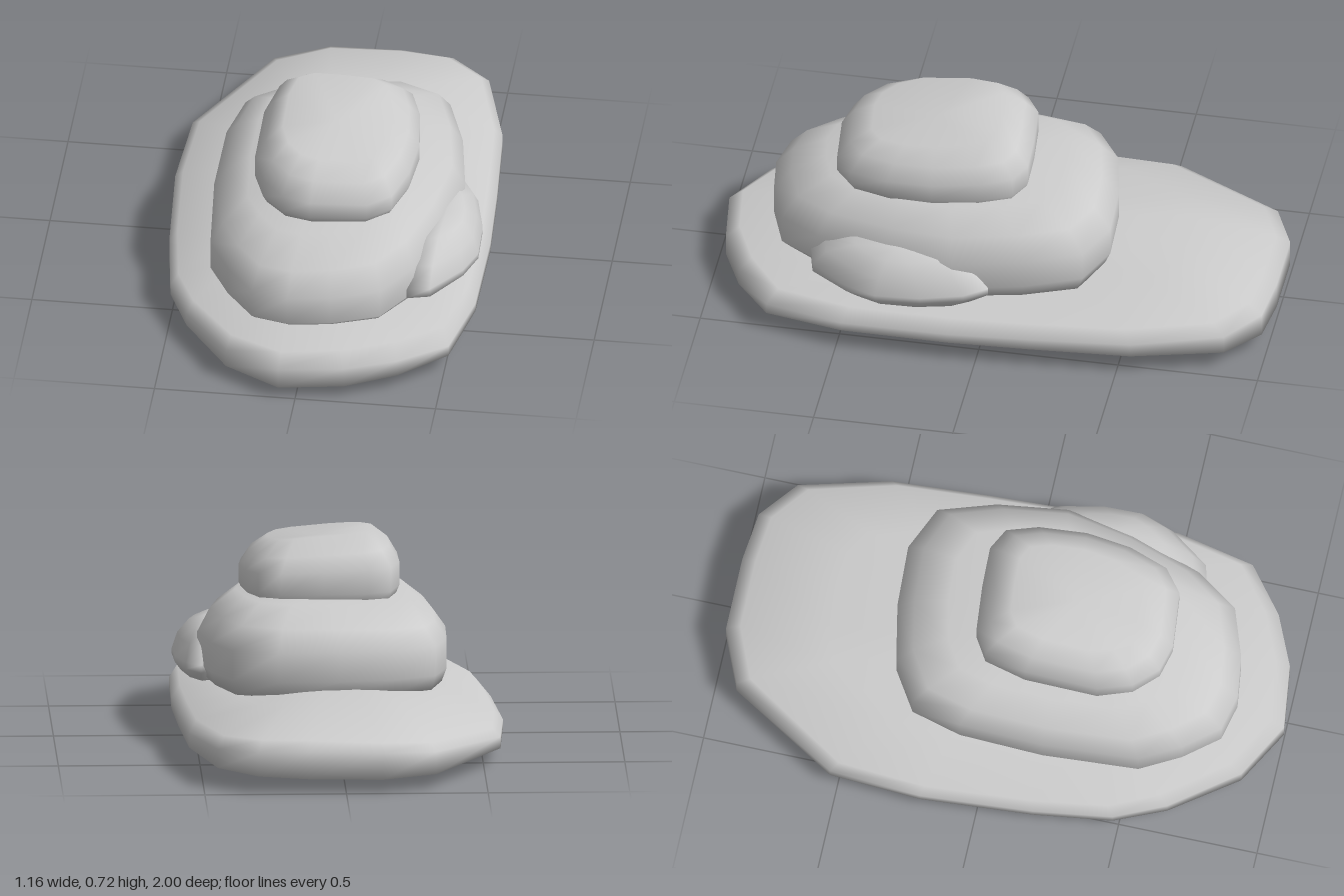
import * as THREE from 'three';
import { mergeVertices } from 'three/addons/utils/BufferGeometryUtils.js';

const material = new THREE.MeshStandardMaterial({ color: 0xcccccc, roughness: 0.9 });

// A rounded slab: an [x, z] outline repeated in rings of [scale, height, slopeX, slopeZ, drop]
// around a centre, where drop lowers the sides of a ring by the square of x;
// the first and last rings close to a point.
function stone(name, [cx, cz], outline, rings) {
  const n = outline.length, last = rings.length - 1;
  const positions = [], index = [];
  for (const [scale, y, slopeX = 0, slopeZ = 0, drop = 0] of rings) {
    for (const [x, z] of outline) {
      const dx = (x - cx) * scale, dz = (z - cz) * scale;
      positions.push(cx + dx, y + dx * slopeX + dz * slopeZ - drop * dx * dx, cz + dz);
    }
  }
  for (let r = 0; r < last; r++) {
    for (let i = 0; i < n; i++) {
      const j = (i + 1) % n, a = r * n, b = a + n;
      if (r > 0) index.push(a + j, a + i, b + i);
      if (r < last - 1) index.push(a + j, b + i, b + j);
    }
  }
  let geometry = new THREE.BufferGeometry();
  geometry.setAttribute('position', new THREE.Float32BufferAttribute(positions, 3));
  geometry.setIndex(index);
  geometry = mergeVertices(geometry);
  geometry.computeVertexNormals();
  const mesh = new THREE.Mesh(geometry, material);
  mesh.name = name;
  return mesh;
}

export function createModel() {
  const group = new THREE.Group();
  group.name = 'stackedStones';

  // Long flat slab, thicker toward the back and thinning to its sides
  group.add(stone('baseStone', [0, 0], [
    [-0.13, -1], [0.13, -1], [0.31, -0.98], [0.45, -0.87], [0.54, -0.55], [0.565, -0.2],
    [0.58, 0.1], [0.575, 0.48], [0.515, 0.76], [0.35, 0.89], [0.17, 0.97], [-0.06, 1],
    [-0.26, 0.89], [-0.43, 0.66], [-0.51, 0.48], [-0.55, 0.2], [-0.58, -0.2], [-0.56, -0.53], [-0.32, -0.92],
  ], [
    [0, 0.008], [0.8, 0.012, 0.025, -0.003], [1, 0.047, 0.015, -0.004, -0.06], [1, 0.135, 0.02, -0.015, 0.1],
    [0.95, 0.171, 0.04, -0.008, 0.1], [0.65, 0.222, 0, -0.05, 0.22], [0, 0.23],
  ]));

  // Middle stone, leaning down to the front
  group.add(stone('middleStone', [0.04, 0.2], [
    [-0.2, -0.37], [0, -0.41], [0.22, -0.42], [0.38, -0.35], [0.45, -0.15], [0.49, 0.1],
    [0.45, 0.35], [0.37, 0.6], [0.27, 0.75], [0.1, 0.81], [-0.05, 0.83], [-0.18, 0.8],
    [-0.28, 0.68], [-0.36, 0.54], [-0.39, 0.2], [-0.385, -0.1], [-0.34, -0.28],
  ], [
    [0, 0.18], [0.96, 0.2, 0, -0.03], [1, 0.24, 0, -0.06], [1, 0.345, 0, -0.06],
    [0.9, 0.418, 0.03, -0.06], [0.7, 0.487, 0.03, -0.06], [0, 0.5],
  ]));

  // Top stone, highest at its back left, slightly hollow on top
  group.add(stone('topStone', [0.05, 0.23], [
    [-0.11, -0.1], [0.05, -0.115], [0.2, -0.12], [0.28, -0.08], [0.32, 0.03], [0.34, 0.2],
    [0.325, 0.36], [0.28, 0.5], [0.2, 0.565], [0, 0.585], [-0.1, 0.56], [-0.18, 0.48],
    [-0.225, 0.36], [-0.225, 0.1], [-0.19, -0.05],
  ], [
    [0, 0.46], [0.94, 0.47, 0, -0.03], [1, 0.51, 0, -0.05], [1, 0.58, -0.03, -0.08],
    [0.87, 0.637, -0.05, -0.07], [0.66, 0.686, -0.08, -0.12], [0, 0.672],
  ]));

  // Small stone wedged against the left side
  group.add(stone('sideStone', [0.45, 0.3], [
    [0.48, -0.03], [0.53, 0.05], [0.565, 0.2], [0.57, 0.36], [0.53, 0.47],
    [0.43, 0.61], [0.35, 0.63], [0.32, 0.45], [0.34, 0.2], [0.4, 0.02],
  ], [
    [0, 0.18], [0.8, 0.188], [1, 0.22, 0, -0.03], [1, 0.25, -0.08, -0.03],
    [0.84, 0.312, -0.12, -0.03], [0.5, 0.358, -0.12, -0.02], [0, 0.37],
  ]));

  return group;
}
